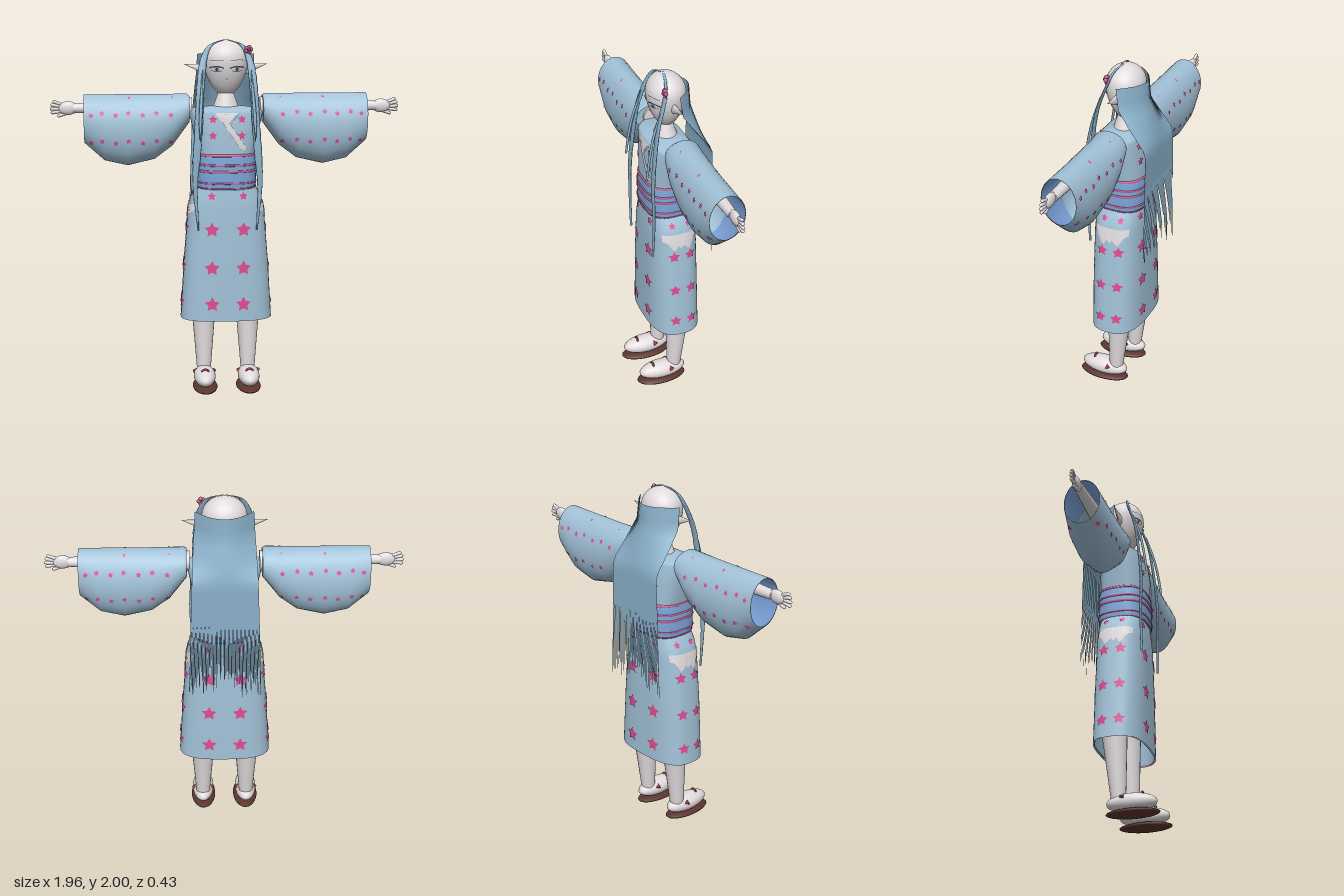
import * as THREE from 'three';
import { mergeGeometries } from 'three/addons/utils/BufferGeometryUtils.js';

const mat = (name, color) => {
  const m = new THREE.MeshStandardMaterial({ color, side: THREE.DoubleSide });
  m.name = name;
  return m;
};
const V = (x, y, z) => new THREE.Vector3(x, y, z);
const range = (n) => Array.from({ length: n }, (_, i) => i);

// Linear interpolation through rows whose first entry is the key
function sample(rows, k) {
  let i = 0;
  while (i < rows.length - 2 && k > rows[i + 1][0]) i++;
  const t = THREE.MathUtils.clamp((k - rows[i][0]) / (rows[i + 1][0] - rows[i][0]), 0, 1);
  return rows[i].map((a, j) => a + (rows[i + 1][j] - a) * t);
}
// Skin a list of equal-length cross-sections
function loft(rings, closed = true) {
  const n = rings[0].length, idx = [], m = closed ? n : n - 1;
  for (let r = 0; r < rings.length - 1; r++) for (let i = 0; i < m; i++) {
    const a = r * n + i, b = r * n + (i + 1) % n;
    idx.push(a, a + n, b, b, a + n, b + n);
  }
  const g = new THREE.BufferGeometry().setFromPoints(rings.flat());
  g.setIndex(idx);
  g.computeVertexNormals();
  return g;
}
// Flat outline wrapped on a surface by map(u, v)
function decal(points, map) {
  const c = [0, 1].map((k) => points.reduce((s, p) => s + p[k], 0) / points.length);
  const g = new THREE.BufferGeometry().setFromPoints([c, ...points].map(([u, v]) => map(u, v)));
  const n = points.length;
  g.setIndex(range(n).flatMap((i) => [0, i + 1, (i + 1) % n + 1]));
  g.computeVertexNormals();
  return g;
}
const star = (u, v, r) => range(10).map((i) => {
  const a = Math.PI / 2 + i * Math.PI / 5, q = i % 2 ? r * 0.52 : r;
  return [u + q * Math.cos(a), v + q * Math.sin(a)];
});

// Body rows: y, half width, front z, back z
const SKIRT = [[0.42, 0.26, 0.13, -0.165], [0.75, 0.24, 0.13, -0.16], [1.05, 0.215, 0.125, -0.155], [1.12, 0.2, 0.12, -0.15], [1.18, 0.165, 0.115, -0.145]];
const SASH = [[1.17, 0.157, 0.118, -0.148], [1.2, 0.167, 0.126, -0.155], [1.35, 0.165, 0.126, -0.155], [1.375, 0.158, 0.118, -0.148]];
const CHEST = [[1.36, 0.16, 0.118, -0.145], [1.5, 0.185, 0.115, -0.14], [1.6, 0.207, 0.107, -0.125], [1.615, 0.195, 0.095, -0.115], [1.635, 0.05, 0.04, -0.06]];
// Sleeve rows: x, top, bottom, half depth
const SLEEVE = [[0.205, 1.69, 1.54, 0.095], [0.22, 1.7, 1.52, 0.102], [0.3, 1.7, 1.41, 0.113], [0.4, 1.7, 1.335, 0.117], [0.55, 1.7, 1.3, 0.117], [0.68, 1.7, 1.33, 0.115], [0.79, 1.7, 1.43, 0.102]];
// Head rows: y, radius
const HEAD = [[1.685, 0], [1.69, 0.025], [1.71, 0.052], [1.745, 0.08], [1.79, 0.103], [1.84, 0.118], [1.89, 0.123], [1.93, 0.114], [1.965, 0.088], [1.99, 0.048], [2, 0]];
const P = 2.8;

const bodyRing = ([y, rx, zf, zb], off = 0) => range(48).map((i) => {
  const a = i / 48 * Math.PI * 2, c = Math.cos(a), s = Math.sin(a);
  const k = (t) => Math.sign(t) * Math.abs(t) ** (2 / P);
  return V((rx + off) * k(c), y, (zf + zb) / 2 + ((zf - zb) / 2 + off) * k(s));
});
const bulge = (t) => Math.max(0, 1 - Math.abs(t) ** P) ** (1 / P);
const onFront = (rows, sign, off = 0.005) => (x, y) => {
  const [, rx, zf, zb] = sample(rows, y);
  return V(x, y, (zf + zb) / 2 + sign * ((zf - zb) / 2 * bulge(x / rx) + off));
};
const onSide = (rows, sign, off = 0.005) => (z, y) => {
  const [, rx, zf, zb] = sample(rows, y);
  return V(sign * (rx * bulge((z - (zf + zb) / 2) / ((zf - zb) / 2)) + off), y, z);
};
const sleeveRing = ([x, t, b, rz], s, k = 1) => range(28).map((i) => {
  const a = i / 28 * Math.PI * 2;
  return V(s * x, (t + b) / 2 + (t - b) / 2 * k * Math.sin(a), -0.02 + rz * k * Math.cos(a));
});
const onSleeve = (s, f) => (x, y) => {
  const [, t, b, rz] = sample(SLEEVE, x), q = (y - (t + b) / 2) / ((t - b) / 2);
  return V(s * x, y, -0.02 + f * (rz * Math.sqrt(Math.max(0, 1 - q * q)) + 0.004));
};
const onFace = (x, y) => V(x, y, -0.015 + 0.87 * Math.sqrt(Math.max(0, sample(HEAD, y)[1] ** 2 - x * x)) + 0.004);

export function createModel() {
  const model = new THREE.Group();
  const skin = mat('skin', 0xe2dcde), robe = mat('robe blue', 0xa2c2d8), lining = mat('lining blue', 0x8ab4f0),
    sash = mat('sash blue', 0x7da8dc), pink = mat('blossom pink', 0xe04c90), trim = mat('trim rose', 0xc45c90),
    hair = mat('hair blue', 0x8ab0c9), red = mat('strap red', 0x9c3a48), brown = mat('sandal brown', 0x5c352f), dark = mat('dark line', 0x45434d);
  const add = (name, geo, m, x = 0, y = 0, z = 0) => {
    const o = new THREE.Mesh(geo, m);
    o.name = name;
    o.position.set(x, y, z);
    model.add(o);
    return o;
  };

  // Robe body, lining, inner hem and sash
  add('skirt', loft(SKIRT.map((r) => bodyRing(r))), robe);
  add('skirtLining', loft(SKIRT.map((r) => bodyRing(r, -0.006))), robe);
  add('hem', loft([0.421, 0.428].map((y) => bodyRing(sample(SKIRT, y), -0.009))), trim);
  add('chest', loft(CHEST.map((r) => bodyRing(r))), robe);
  add('sash', loft(SASH.map((r) => bodyRing(r))), sash);
  for (const [y, h] of [[1.181, 0.004], [1.212, 0.005], [1.278, 0.007], [1.314, 0.006], [1.368, 0.007]])
    add('sashCord', loft([-h, -h * 0.7, h * 0.7, h].map((d, i) => bodyRing(sample(SASH, y + d), i % 3 ? 0.005 : 0.001))), trim);

  // Blossoms on skirt and chest
  const blossoms = [];
  for (const f of [1, -1]) {
    for (const y of [0.52, 0.73, 0.95, 1.14]) {
      const r = y > 1.1 ? 0.025 : 0.044;
      for (const x of [-0.087, 0.09]) blossoms.push(decal(star(x, y, r), onFront(SKIRT, f)));
      for (const z of [0.025, -0.072]) blossoms.push(decal(star(z, y, r * 0.8), onSide(SKIRT, f)));
    }
    for (const y of [1.48, 1.57]) for (const x of [-0.08, 0.08]) blossoms.push(decal(star(x, y, 0.025), onFront(CHEST, f)));
  }
  // Pale side openings at the hips with a ragged lower edge
  const low = [1.05, 1.045, 1.03, 1.0, 0.99, 1.02, 1.0, 1.02, 1.0, 0.99, 1.02, 1.045, 1.05];
  for (const s of [1, -1]) add('hipOpening', mergeGeometries(range(12).map((i) => {
    const a = 0.083 - i * 0.0168, b = a - 0.0168;
    return decal([[a, 1.09], [b, 1.09], [b, low[i + 1]], [a, low[i]]], onSide(SKIRT, s, 0.004));
  })), skin);

  // Flared neck and crossed collar
  add('neck', new THREE.CylinderGeometry(0.04, 0.08, 0.11, 24), skin, 0, 1.66, -0.012).scale.z = 0.9;
  add('neckOpening', decal([[-0.068, 1.605], [0.058, 1.605], [0.035, 1.56], [0, 1.525], [-0.035, 1.56]], onFront(CHEST, 1, 0.004)), skin);
  const band = (x0, y0, x1, y1, w) => mergeGeometries(range(6).map((i) => {
    const at = (t) => [x0 + (x1 - x0) * t, y0 + (y1 - y0) * t], [a, b] = at(i / 6), [c, d] = at((i + 1) / 6);
    return decal([[a - w, b], [a + w, b], [c + w, d], [c - w, d]], onFront(CHEST, 1, 0.008));
  }));
  add('collarLeft', band(0.062, 1.605, 0.012, 1.545, 0.008), robe);
  add('collarRight', band(-0.03, 1.585, 0.095, 1.4, 0.019), skin);

  for (const s of [1, -1]) {
    // Sleeves, with the bright lining only near the cuff
    add('sleeve', loft([...SLEEVE.map((r) => sleeveRing(r, s)), sleeveRing(SLEEVE[6], s, 0.97)]), robe);
    add('sleeveInside', loft(SLEEVE.slice(0, 5).map((r) => sleeveRing(r, s, 0.965))), robe);
    add('sleeveLining', loft(SLEEVE.slice(4).map((r) => sleeveRing(r, s, 0.965))), lining);
    add('sleeveCap', loft([sleeveRing(SLEEVE[0], s), sleeveRing(SLEEVE[0], s, 0.001)]), robe);
    for (const f of [1, -1]) for (const y of [1.6, 1.445])
      for (const [i, x] of [0.31, 0.39, 0.465, 0.545, 0.615, 0.69, 0.75].entries()) {
        const v = y + (i % 2 ? 0.006 : -0.006);
        if (v > sample(SLEEVE, x)[2] + 0.03) blossoms.push(decal(star(x, v, 0.016), onSleeve(s, f)));
      }
    for (const x of [0.3, 0.54]) for (const z of [0.03, -0.07])
      blossoms.push(decal(star(x, z, 0.01), (u, w) => V(s * u, 1.504 + 0.2 * Math.sqrt(1 - ((w + 0.02) / 0.117) ** 2), w)));
    // Arm and hand
    const arm = add('arm', new THREE.CylinderGeometry(0.026, 0.055, 0.66, 16), skin, s * 0.52, 1.625, -0.02);
    arm.rotation.z = -s * Math.PI / 2;
    add('palm', new THREE.SphereGeometry(1, 16, 12), skin, s * 0.878, 1.625, -0.02).scale.set(0.055, 0.038, 0.022);
    range(5).forEach((i) => {
      const a = 0.36 - i * 0.17, len = [0.05, 0.07, 0.078, 0.07, 0.05][i];
      const finger = add('finger', new THREE.CapsuleGeometry(0.0095, len, 4, 8), skin,
        s * (0.93 - (i === 4 ? 0.025 : 0)), 1.652 - i * 0.0155, -0.02);
      finger.rotation.z = s * (a - Math.PI / 2);
    });
    // Leg, sock and sandal
    const leg = add('leg', new THREE.CylinderGeometry(0.08, 0.04, 0.5, 20), skin, s * 0.127, 0.35, -0.029);
    leg.rotation.x = -0.06;
    add('sock', new THREE.SphereGeometry(1, 24, 16), skin, s * 0.127, 0.08, 0.06).scale.set(0.062, 0.052, 0.142);
    add('sandal', new THREE.SphereGeometry(1, 32, 12), brown, s * 0.125, 0.022, 0.065).scale.set(0.071, 0.022, 0.15);
    add('toeStrap', new THREE.TorusGeometry(0.018, 0.006, 6, 14, Math.PI), red, s * 0.127, 0.118, 0.12);
    for (const t of [1, -1]) {
      const knot = add('sideStrap', new THREE.ConeGeometry(0.016, 0.036, 6), red, s * 0.127 + t * 0.045, 0.106, 0.025);
      knot.rotation.set(0.5, 0, t * 0.6);
    }
    // Pointed ear
    const ear = add('ear', new THREE.ConeGeometry(0.032, 0.135, 14), skin, s * 0.168, 1.85, -0.015);
    ear.scale.z = 0.5;
    ear.rotation.z = s * (0.22 - Math.PI / 2);

    // Face markings
    const e = s * 0.056;
    const oval = (rx, ry, cy) => range(16).map((i) => [e + rx * Math.cos(i * Math.PI / 8), cy + ry * Math.sin(i * Math.PI / 8)]);
    add('iris', decal(oval(0.014, 0.012, 1.842), onFace), hair);
    add('pupil', decal(oval(0.007, 0.009, 1.842), (x, y) => onFace(x, y).add(V(0, 0, 0.002))), dark);
    const stroke = (y, w, h, arch) => mergeGeometries(range(6).map((i) => {
      const p = [i, i + 1].map((j) => [e + w * (j / 3 - 1), y + arch * (1 - (j / 3 - 1) ** 2)]);
      return decal([p[0], p[1], [p[1][0], p[1][1] + h], [p[0][0], p[0][1] + h]], onFace);
    }));
    add('upperLash', stroke(1.846, 0.04, 0.008, 0.008), dark);
    add('lowerLash', stroke(1.836, 0.03, 0.003, -0.008), dark);
    add('brow', stroke(1.89, 0.038, 0.003, 0.003), dark);

    // Long front lock, a flattened ribbon from the parting
    const lock = (points, width, steps) => {
      const path = new THREE.CatmullRomCurve3(points.map(([x, y, z]) => V(s * x, y, z)));
      return loft(range(steps + 1).map((j) => {
        const t = j / steps, c = path.getPoint(t);
        const w = width * Math.min(1, 0.25 + t * 2) * Math.min(1, 0.2 + (1 - t) * 3) * (j % 2 ? 0.88 : 1);
        return range(10).map((i) => V(c.x + w * Math.cos(i * Math.PI / 5), c.y, c.z + 0.007 * Math.sin(i * Math.PI / 5)));
      }));
    };
    add('frontLock', lock([[0.01, 2.0, 0], [0.085, 1.972, 0.02], [0.122, 1.91, 0.04], [0.145, 1.77, 0.085],
      [0.155, 1.6, 0.11], [0.168, 1.4, 0.128], [0.18, 1.2, 0.128], [0.164, 0.95, 0.13]], 0.024, 40), hair);
    add('frontWisp', lock([[0.135, 1.84, 0.07], [0.142, 1.7, 0.115], [0.15, 1.58, 0.14], [0.153, 1.45, 0.158]], 0.01, 16), hair);
  }
  add('blossoms', mergeGeometries(blossoms), pink);

  // Head, nose and mouth
  const head = add('head', new THREE.LatheGeometry(new THREE.SplineCurve(HEAD.map(([y, r]) => new THREE.Vector2(r, y))).getPoints(40), 40), skin, 0, 0, -0.015);
  head.scale.z = 0.87;
  add('mouth', decal([[-0.009, 1.789], [0, 1.794], [0.009, 1.789], [0, 1.783]], onFace), hair);

  // Back hair: a ribbed curtain wrapping the head, then a fringe of separate strands
  const BACK = [[0.85, -0.215, 0, 0.205], [1.58, -0.215, 0, 0.178], [1.7, -0.18, 0.06, 0.172], [1.8, -0.148, 0.1, 0.165], [1.92, -0.14, 0.11, 0.158]];
  const N = 52;
  const onHair = (u, y) => {
    const [, zb, depth, w] = sample(BACK, y);
    return V(u * w, y, zb + depth * u * u);
  };
  add('backHair', loft(range(16).map((j) => range(2 * N + 1).map((i) =>
    onHair(i / N - 1, 1.92 - j * 0.6 / 15).add(V(0, 0, (i % 2) * 0.003)))), false), hair);
  add('hairFringe', mergeGeometries(range(N).map((i) => {
    const u = (i + 0.5) / N * 2 - 1, end = 0.87 + 0.2 * Math.abs(Math.sin(i * 12.9898) * 43758.5453 % 1);
    return loft([[1.325, 1], [1.2, 0.75], [end + 0.03, 0.55], [end, 0.1]].map(([y, k]) =>
      [-k / N, k / N].map((d) => onHair(u + d, y))), false);
  })), hair);

  // Hair ornament
  for (const i of range(5)) {
    const a = i * Math.PI * 0.4;
    add('ornamentPetal', new THREE.SphereGeometry(0.012, 10, 8), trim, 0.122 + 0.014 * Math.cos(a), 1.948 + 0.014 * Math.sin(a), 0.04);
  }
  add('ornamentCentre', new THREE.SphereGeometry(0.01, 10, 8), red, 0.124, 1.948, 0.05);
  return model;
}
